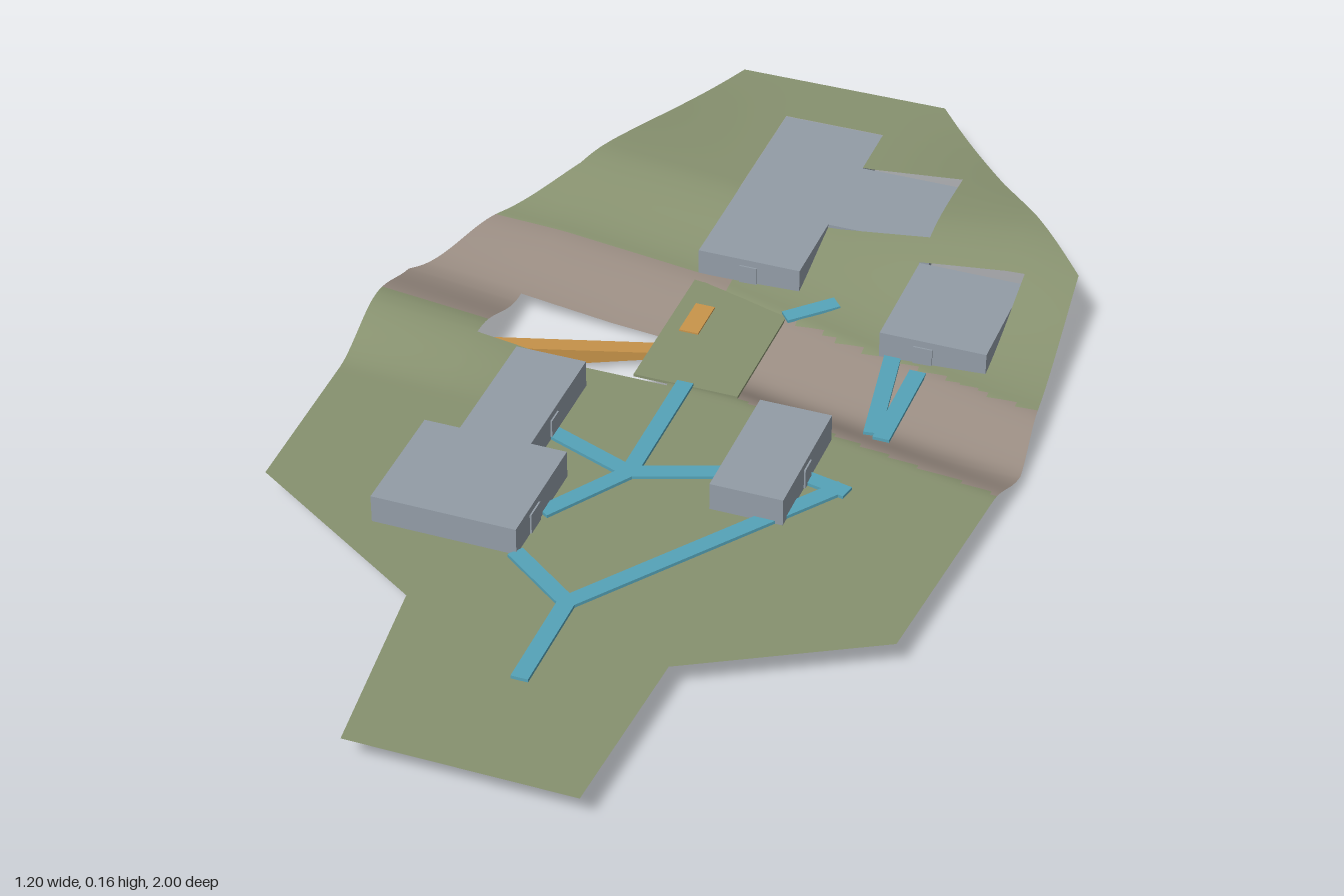
import * as THREE from 'three';

const mat = (name, color, side = THREE.FrontSide) => {
  const m = new THREE.MeshStandardMaterial({ color, side });
  m.name = name;
  return m;
};

// piecewise-linear lookup through sorted [key, value] pairs
function table(pts, k) {
  if (k <= pts[0][0]) return pts[0][1];
  for (let i = 1; i < pts.length; i++) {
    const [a, va] = pts[i - 1], [b, vb] = pts[i];
    if (k <= b) return va + (vb - va) * (k - a) / (b - a);
  }
  return pts[pts.length - 1][1];
}

// plan outline: x of the left and right border for each z
const WEST = [[-1, -0.235], [-0.56, -0.4], [-0.22, -0.602], [0.42, -0.588], [0.64, -0.233], [1, -0.188]];
const EAST = [[-1, 0.168], [-0.75, 0.36], [-0.51, 0.568], [-0.06, 0.6], [0.48, 0.552], [0.66, 0.23], [1, 0.212]];

// gully and ridge lines as functions of x
const SOUTH_Z = [[-0.6, -0.07], [-0.1, -0.05], [0.09, -0.04], [0.6, 0.07]];
const SOUTH_Y = [[-0.6, 0.112], [-0.4, 0.095], [-0.2, 0.067]];
const BED_Z = [[-0.6, -0.25], [-0.1, -0.22], [0.09, -0.19], [0.6, -0.06]];
const BED_Y = [[-0.6, 0.066], [-0.4, 0.045], [-0.22, 0.02], [-0.05, 0.004], [0.12, 0.003], [0.35, 0.016], [0.6, 0.03]];
const NORTH_Z = [[-0.6, -0.4], [-0.1, -0.39], [0.09, -0.33], [0.6, -0.18]];
const NORTH_Y = [[-0.6, 0.11], [-0.37, 0.1], [-0.1, 0.07], [0.3, 0.07], [0.6, 0.08]];
const RIDGE_Y = [[-0.6, 0.145], [-0.37, 0.145], [-0.2, 0.13], [-0.1, 0.12], [0.1, 0.12], [0.3, 0.147], [0.45, 0.164], [0.6, 0.16]];

function height(x, z) {
  const knots = [
    [-1, 0.12], [-0.62, table(RIDGE_Y, x)],
    [table(NORTH_Z, x), table(NORTH_Y, x)], [table(BED_Z, x), table(BED_Y, x)],
    [table(SOUTH_Z, x), table(SOUTH_Y, x)], [table(SOUTH_Z, x) + 0.17, 0.067], [1.01, 0.067],
  ];
  for (let i = 1; i < knots.length; i++) {
    const [a, ya] = knots[i - 1], [b, yb] = knots[i];
    if (z <= b) {
      const t = THREE.MathUtils.smoothstep(z, a, b);
      return ya + (yb - ya) * t;
    }
  }
  return 0.067;
}

// openings in the terrain: [x0, x1, z0, z1]
const HOLES = [
  [-0.395, -0.04, -0.25, -0.05],
  [-0.105, 0.087, -0.87, -0.39],
  [0.087, 0.28, -0.75, -0.55],
  [0.28, 0.475, -0.49, -0.26],
];

function isRock(x, z) {
  if (x < -0.04) return z > -0.385 && z < -0.1;
  const t = (x - 0.09) / 0.51;
  return z > -0.31 + 0.13 * t && z < -0.06 + 0.11 * t;
}

// evenly spaced grid lines plus the exact extra ones
function gridLines(from, to, step, extra) {
  const lines = [...extra];
  for (let v = from; v < to + 1e-6; v += step) {
    if (!extra.some(e => Math.abs(e - v) < step * 0.3)) lines.push(v);
  }
  return [...new Set(lines)].sort((a, b) => a - b);
}

function terrainGeometry() {
  const xs = gridLines(-0.605, 0.605, 0.0275, HOLES.flatMap(h => [h[0], h[1]]));
  const zs = gridLines(-1, 1, 0.0125, [
    -1, 1, ...HOLES.flatMap(h => [h[2], h[3]]), ...WEST.map(p => p[0]), ...EAST.map(p => p[0])]);
  const pos = [], ground = [], rock = [], n = xs.length;
  for (const z of zs) {
    const w = table(WEST, z), e = table(EAST, z);
    for (const gx of xs) {
      const x = Math.min(e, Math.max(w, gx));
      pos.push(x, height(x, z), z);
    }
  }
  for (let j = 0; j < zs.length - 1; j++) {
    for (let i = 0; i < n - 1; i++) {
      const cx = (xs[i] + xs[i + 1]) / 2, cz = (zs[j] + zs[j + 1]) / 2;
      if (HOLES.some(h => cx > h[0] && cx < h[1] && cz > h[2] && cz < h[3])) continue;
      const a = j * n + i, b = a + 1, d = a + n, c = d + 1;
      const out = isRock(cx, cz) ? rock : ground;
      if (pos[c * 3] - pos[d * 3] > 1e-6) out.push(a, d, c);
      if (pos[b * 3] - pos[a * 3] > 1e-6) out.push(a, c, b);
    }
  }
  const g = new THREE.BufferGeometry();
  g.setAttribute('position', new THREE.Float32BufferAttribute(pos, 3));
  g.setIndex([...ground, ...rock]);
  g.addGroup(0, ground.length, 0);
  g.addGroup(ground.length, rock.length, 1);
  g.computeVertexNormals();
  return g;
}

// vertical prism over a plan polygon of [x, z] corners
function prism(plan, y0, y1) {
  const shape = new THREE.Shape(plan.map(([x, z]) => new THREE.Vector2(x, -z)));
  const g = new THREE.ExtrudeGeometry(shape, { depth: y1 - y0, bevelEnabled: false });
  return g.rotateX(-Math.PI / 2).translate(0, y0, 0);
}
const rect = (x0, x1, z0, z1) => [[x0, z0], [x1, z0], [x1, z1], [x0, z1]];

export function createModel() {
  const model = new THREE.Group();
  model.name = 'hillsideSite';
  const grass = mat('grass', 0x87916f, THREE.DoubleSide);
  const rock = mat('rock', 0x978a80, THREE.DoubleSide);
  const wall = mat('building', 0x929ca6);
  const water = mat('path', 0x55a3b8);
  const wood = mat('ramp', 0xc8944a);
  const add = (name, geo, m) => {
    const mesh = new THREE.Mesh(geo, m);
    mesh.name = name;
    model.add(mesh);
    return mesh;
  };

  add('terrain', terrainGeometry(), [grass, rock]);
  // level deck crossing the gully
  add('deck', prism(rect(-0.105, 0.088, -0.39, -0.06), 0.063, 0.068), grass);

  // buildings
  add('backBuilding', prism([[-0.105, -0.87], [0.087, -0.87], [0.087, -0.75], [0.28, -0.75],
    [0.28, -0.55], [0.087, -0.55], [0.087, -0.39], [-0.105, -0.39]], 0.067, 0.119), wall);
  add('smallBuilding', prism(rect(0.28, 0.475, -0.49, -0.26), 0.067, 0.119), wall);
  add('frontRightBuilding', prism(rect(0.15, 0.28, 0, 0.253), 0.064, 0.119), wall);
  add('frontLeftBuilding', prism([[-0.3, 0], [-0.17, 0], [-0.17, 0.253], [-0.105, 0.253],
    [-0.105, 0.48], [-0.365, 0.48], [-0.365, 0.253], [-0.3, 0.253]], 0.064, 0.119), wall);

  // thin door plates: x, z, width along x, width along z
  for (const [x, z, w, d] of [[-0.01, -0.389, 0.033, 0.004], [0.36, -0.259, 0.035, 0.004],
    [0.281, 0.13, 0.004, 0.032], [-0.169, 0.15, 0.004, 0.032], [-0.104, 0.4, 0.004, 0.04]]) {
    add('door', new THREE.BoxGeometry(w, 0.038, d).translate(x, 0.087, z), wall);
  }

  // paths: start and end as x, y, z
  const Y = 0.07;
  const paths = [
    [-0.01, Y, -0.06, -0.01, Y, 0.21],
    [-0.01, Y, 0.21, -0.17, Y, 0.15],
    [-0.01, Y, 0.21, 0.15, Y, 0.15],
    [-0.01, Y, 0.21, -0.105, Y, 0.36],
    [0.02, Y, 0.57, 0.02, Y, 0.77],
    [0.02, Y, 0.57, -0.105, Y, 0.48],
    [0.02, Y, 0.57, 0.34, Y, 0.125],
    [0.35, Y, 0.135, 0.28, Y, 0.12],
    [0.305, Y, -0.26, 0.34, Y, -0.04],
    [0.36, Y, -0.23, 0.36, Y, -0.03],
    [0.09, Y, -0.315, 0.16, 0.076, -0.375],
  ];
  for (const [x0, y0, z0, x1, y1, z1] of paths) {
    const a = new THREE.Vector3(x0, y0, z0), b = new THREE.Vector3(x1, y1, z1);
    const p = add('path', new THREE.BoxGeometry(0.03, 0.006, a.distanceTo(b) + 0.008), water);
    p.position.copy(a).lerp(b, 0.5);
    p.lookAt(b);
  }

  // wedge ramp, high at its far left end, and the post it meets
  const len = 0.36;
  const side = new THREE.Shape([[0, 0], [len, 0], [len, 0.006], [0, 0.046]].map(p => new THREE.Vector2(...p)));
  const ramp = add('ramp', new THREE.ExtrudeGeometry(side, { depth: 0.032, bevelEnabled: false })
    .translate(0, 0, -0.016), wood);
  ramp.position.set(-0.38, 0.019, -0.065);
  ramp.rotation.y = Math.atan2(0.155, 0.32);
  add('rampPost', prism(rect(-0.076, -0.04, -0.297, -0.21), 0.019, 0.071), wood);

  return model;
}
